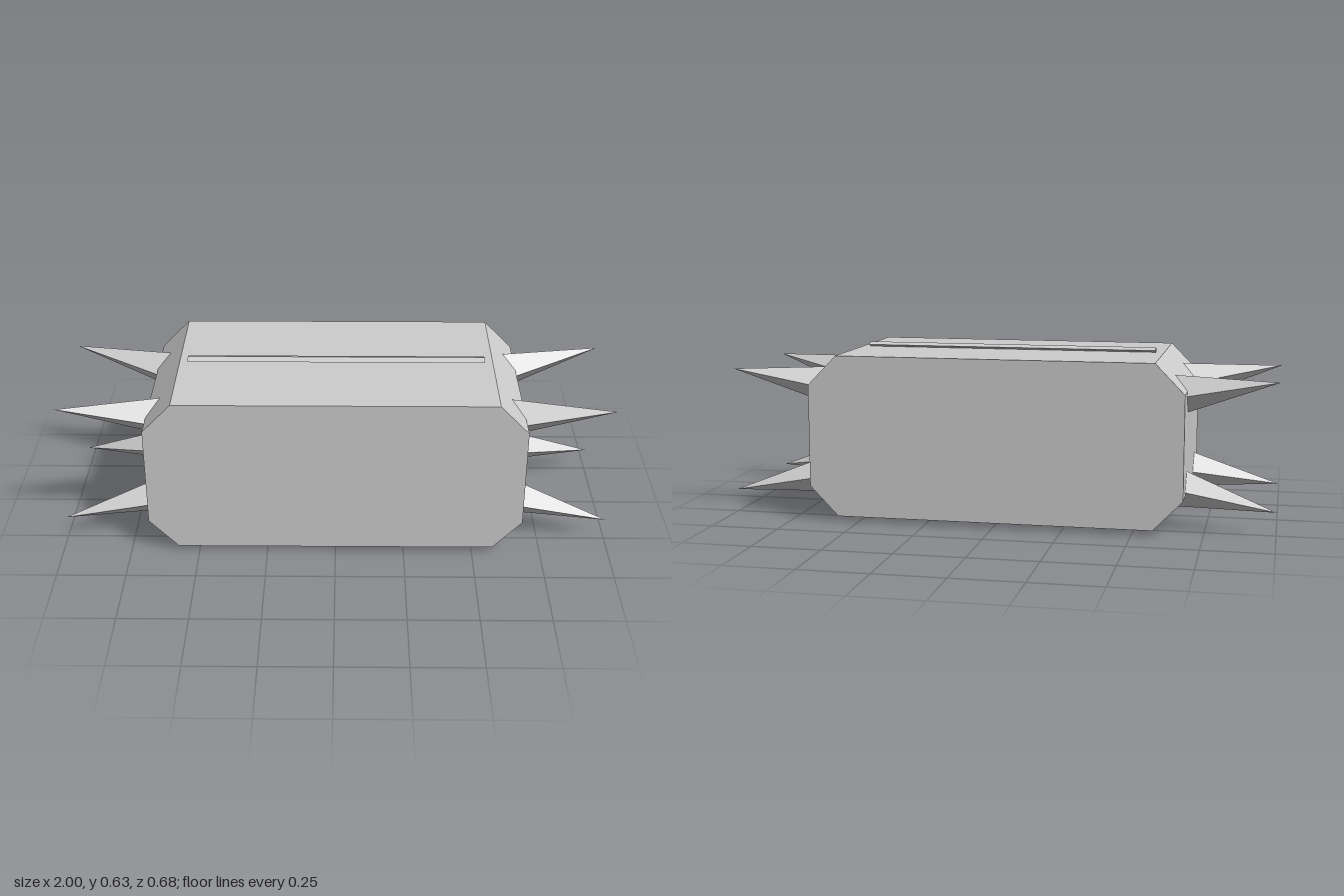
import * as THREE from 'three';

const MID_Y = 0.314;

// Faceted copy of a geometry with hard edges
function faceted(geometry) {
  const g = geometry.index ? geometry.toNonIndexed() : geometry;
  g.computeVertexNormals();
  return g;
}

export function createModel() {
  const model = new THREE.Group();
  model.name = 'spikedBlock';
  const grey = new THREE.MeshStandardMaterial({ color: 0xcccccc });
  grey.name = 'light grey';

  const add = (name, geometry) => {
    const mesh = new THREE.Mesh(faceted(geometry), grey);
    mesh.name = name;
    model.add(mesh);
    return mesh;
  };

  // Body: chamfered rectangle extruded along z
  const profile = new THREE.Shape([
    [-0.575, 0.02], [0.575, 0.02], [0.68, 0.129], [0.68, 0.502],
    [0.575, 0.61], [-0.575, 0.61], [-0.68, 0.502], [-0.68, 0.129],
  ].map(([x, y]) => new THREE.Vector2(x, y)));
  add('body', new THREE.ExtrudeGeometry(profile, { depth: 0.68, bevelEnabled: false })
    .translate(0, 0, -0.34));

  // Thin diamond-section strips along the top and bottom
  for (const [name, y] of [['topStrip', 0.619], ['bottomStrip', 0.0095]]) {
    add(name, new THREE.CylinderGeometry(1, 1, 1.09, 4)
      .rotateZ(Math.PI / 2).scale(1, 0.009, 0.026).translate(0, y, 0));
  }

  // Four-sided spikes, slanting outwards so that each tip leans to its corner
  const tipX = 1, baseX = 0.6, length = tipX - baseX;
  for (const sx of [1, -1]) for (const sy of [1, -1]) for (const sz of [1, -1]) {
    const spike = new THREE.ConeGeometry(0.081, length, 4)
      .translate(0, -length / 2, 0)
      .rotateZ(-sx * Math.PI / 2);
    const slant = new THREE.Matrix4().set(
      1, 0, 0, sx * tipX,
      sx * sy * 0.18, 1, 0, MID_Y + sy * 0.229,
      sx * sz * 0.2, 0, 1, sz * 0.253,
      0, 0, 0, 1,
    );
    const name = (sx > 0 ? 'left' : 'right') + (sy > 0 ? 'Upper' : 'Lower')
      + (sz > 0 ? 'Front' : 'Back') + 'Spike';
    add(name, spike.applyMatrix4(slant));
  }

  return model;
}
